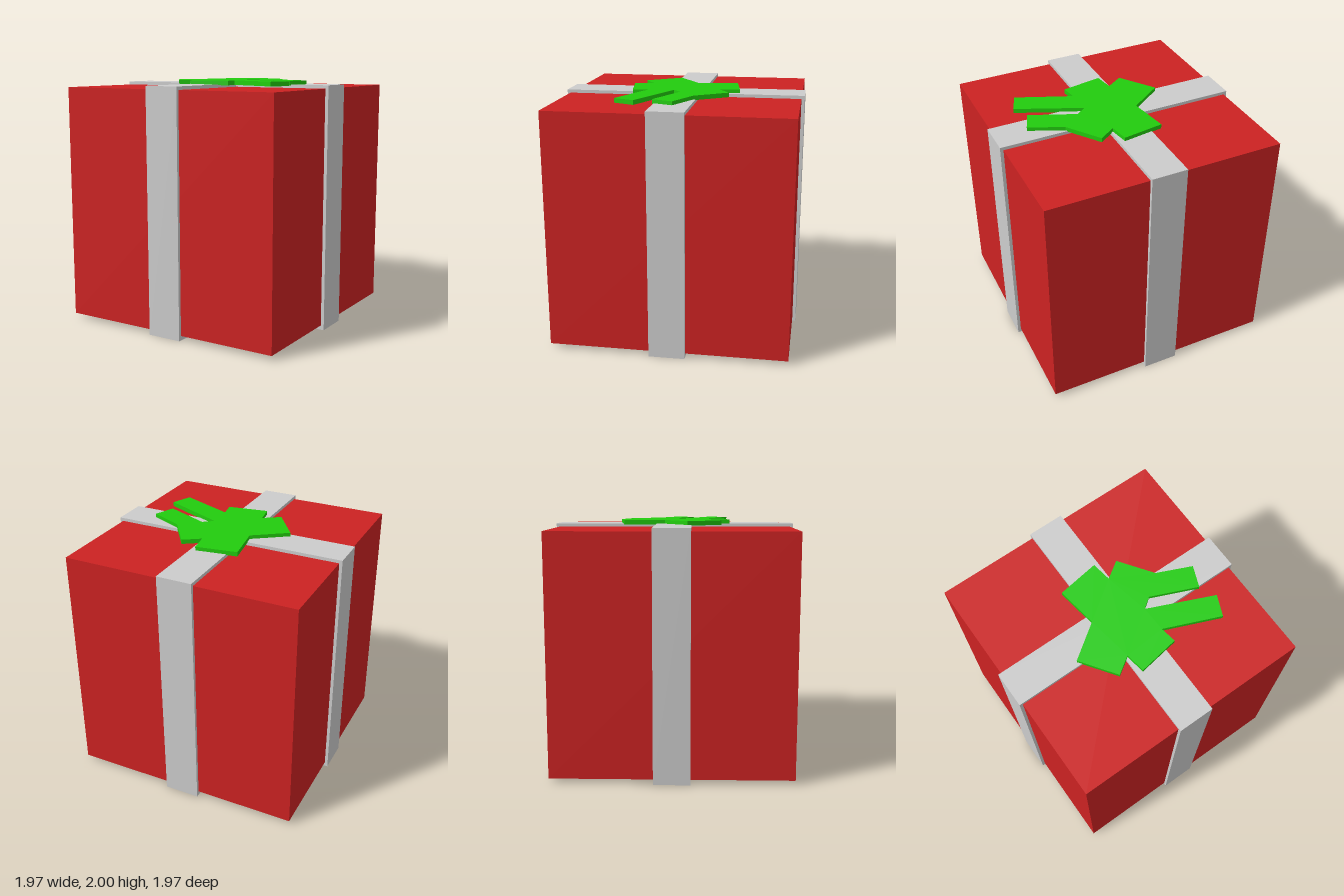
import * as THREE from 'three';

export function createModel() {
  const model = new THREE.Group();
  const paper = new THREE.MeshStandardMaterial({ color: 0xcc2222 });
  paper.name = 'red paper';
  const band = new THREE.MeshStandardMaterial({ color: 0xcccccc });
  band.name = 'silver ribbon';
  const green = new THREE.MeshStandardMaterial({ color: 0x22cc0e });
  green.name = 'green bow';

  const add = (name, geometry, material) => {
    const mesh = new THREE.Mesh(geometry, material);
    mesh.name = name;
    model.add(mesh);
    return mesh;
  };
  const polygon = (points) => new THREE.Shape(points.map(([x, y]) => new THREE.Vector2(x, y)));
  const extrude = (shape, depth) => new THREE.ExtrudeGeometry(shape, { depth, bevelEnabled: false });

  // Wrapped box
  add('giftBox', new THREE.BoxGeometry(1.914, 1.908, 1.914), paper).position.set(-0.002, 0.99, -0.002);

  // Two ribbon loops, each a thin frame around the box
  const loop = polygon([[-0.984, 0], [0.981, 0], [0.981, 1.97], [-0.984, 1.97]]);
  loop.holes.push(polygon([[-0.95, 0.045], [-0.95, 1.935], [0.945, 1.935], [0.945, 0.045]]));
  const width = 0.289;
  const ribbon = extrude(loop, width).translate(0, 0, -width / 2 - 0.002);
  add('ribbonAcross', ribbon, band);
  // The lengthwise loop sits a hair inside so the crossings stay clean
  const lengthwise = ribbon.clone().rotateY(-Math.PI / 2);
  lengthwise.translate(-0.004, 0, -0.001);
  add('ribbonLengthwise', lengthwise, band).position.y = 0;

  // Flat bow with crossed loops and two tails, outlined in x and z
  const bow = polygon([
    [-0.235, -0.41], [0.1, -0.46], [0.125, -0.3], [0.26, -0.39], [0.445, -0.13],
    [0.715, -0.01], [0.648, 0.158], [0.285, 0.003], [0.2, 0.065], [0.715, 0.29],
    [0.646, 0.455], [0.208, 0.272], [0.23, 0.402], [-0.1, 0.455], [-0.125, 0.295],
    [-0.26, 0.385], [-0.455, 0.11], [-0.185, -0.08],
  ]);
  add('bow', extrude(bow, 0.036).rotateX(Math.PI / 2), green).position.y = 2;

  return model;
}
